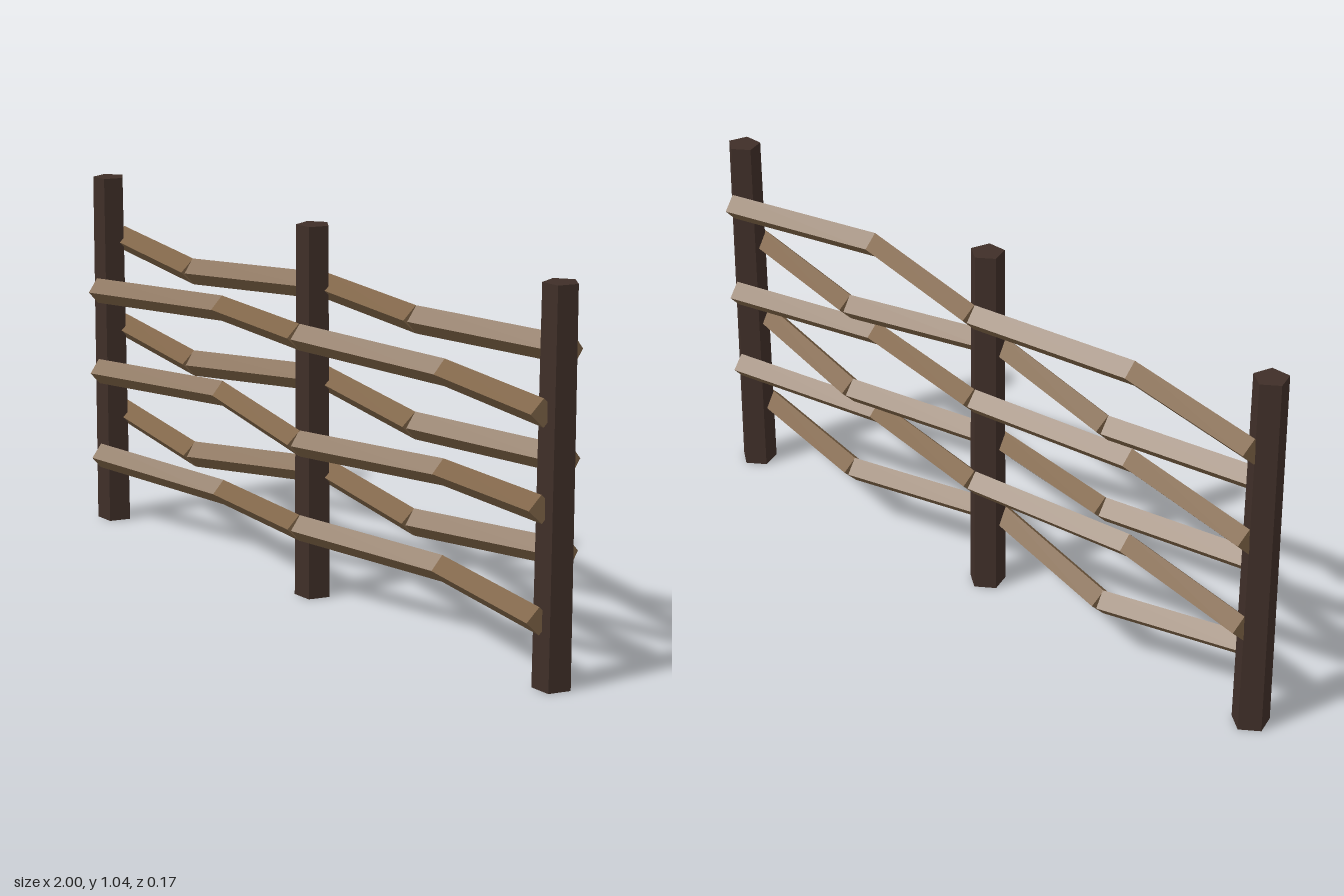
import * as THREE from 'three';

const SPAN = 0.95;       // outer post distance from the centre
const WEAVE = 0.05;      // how far the rails swing to front and back
const RAIL_RADIUS = 0.037;

// Joint heights of each rail from right (-x) to left (+x), bottom row first
const ROWS = [
  [0.20, 0.175, 0.20, 0.183, 0.185],
  [0.32, 0.307, 0.345, 0.33, 0.34],
  [0.46, 0.47, 0.44, 0.447, 0.475],
  [0.585, 0.575, 0.605, 0.59, 0.58],
  [0.705, 0.72, 0.737, 0.715, 0.72],
  [0.85, 0.84, 0.863, 0.87, 0.86],
];

// Four-sided bar, standing on its edge, between two points
function bar(a, b, material) {
  const geometry = new THREE.CylinderGeometry(RAIL_RADIUS, RAIL_RADIUS, a.distanceTo(b), 4);
  geometry.rotateX(Math.PI / 2);
  const mesh = new THREE.Mesh(geometry, material);
  mesh.position.copy(a).lerp(b, 0.5);
  mesh.lookAt(b);
  return mesh;
}

export function createModel() {
  const model = new THREE.Group();
  model.name = 'wovenFence';
  const postWood = new THREE.MeshStandardMaterial({ color: 0x3f2f28, flatShading: true });
  const railWood = new THREE.MeshStandardMaterial({ color: 0x806548, flatShading: true });

  // Five-sided posts, slightly tapered, one edge to the back
  const postGeometry = new THREE.CylinderGeometry(0.047, 0.0525, 1.04, 5);
  postGeometry.rotateY(Math.PI).translate(0, 0.52, 0);
  ['rightPost', 'middlePost', 'leftPost'].forEach((name, i) => {
    const post = new THREE.Mesh(postGeometry, postWood);
    post.name = name;
    post.position.x = (i - 1) * SPAN;
    model.add(post);
  });

  // Rails woven alternately before and behind the posts
  ROWS.forEach((heights, row) => {
    const rail = new THREE.Group();
    rail.name = `rail${row + 1}`;
    const joints = heights.map((y, i) =>
      new THREE.Vector3((i - 2) * SPAN / 2, y, (i + row) % 2 ? -WEAVE : WEAVE));
    for (let i = 0; i < joints.length - 1; i++) {
      const segment = bar(joints[i], joints[i + 1], railWood);
      segment.name = `railSegment${i + 1}`;
      rail.add(segment);
    }
    model.add(rail);
  });

  return model;
}
